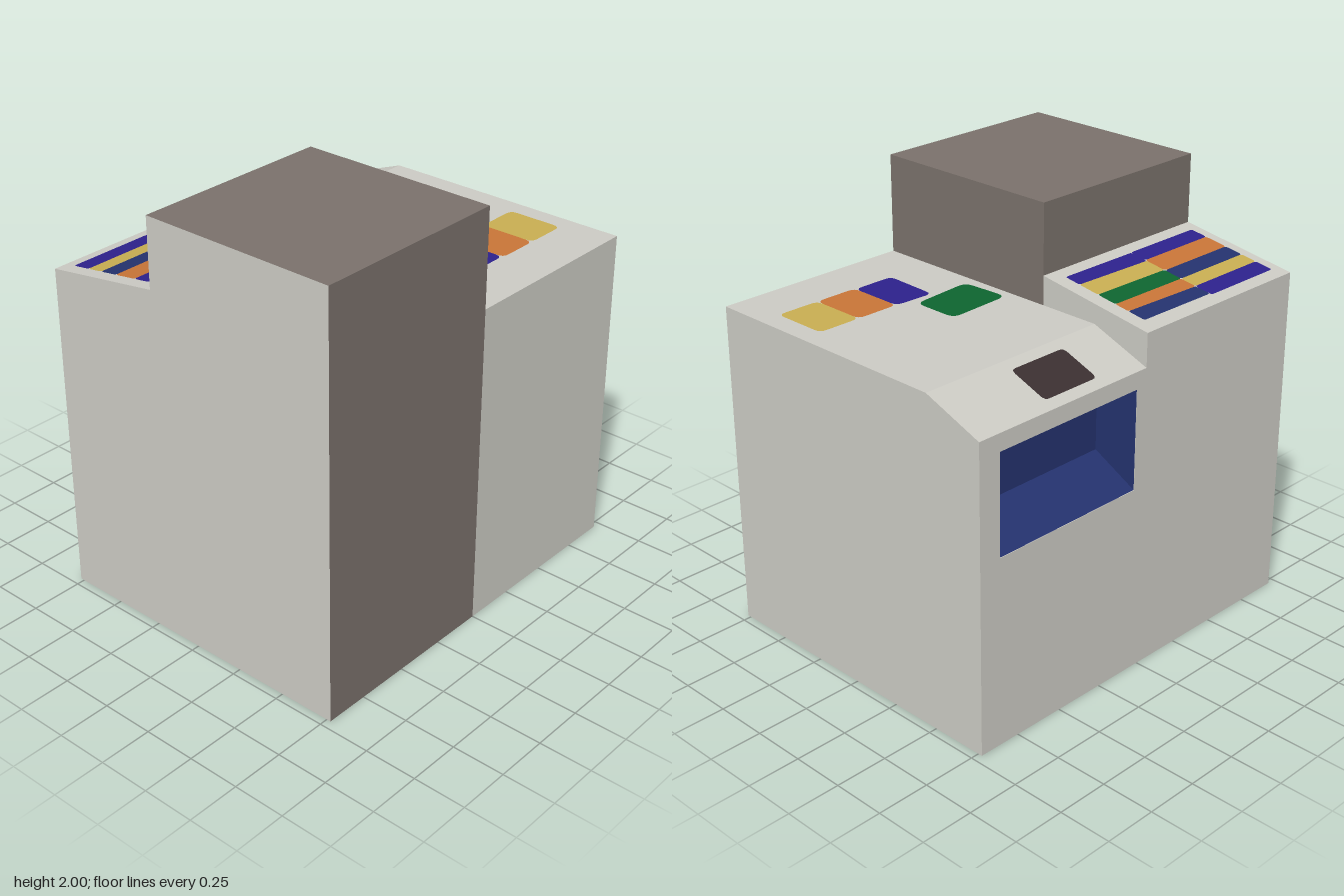
import * as THREE from 'three';

const mat = (name, color) => {
  const m = new THREE.MeshStandardMaterial({ color });
  m.name = name;
  return m;
};

export function createModel() {
  const group = new THREE.Group();
  const grey = mat('light grey', 0xcccbc4);
  const brown = mat('warm brown', 0x7a716b);
  const navy = mat('navy', 0x24326e);
  const blue = mat('violet blue', 0x2d218c);
  const orange = mat('orange', 0xc87537);
  const yellow = mat('yellow', 0xc8ae52);
  const green = mat('green', 0x0e6530);
  const dark = mat('dark screen', 0x3b3031);

  const add = (name, geometry, material) => {
    const mesh = new THREE.Mesh(geometry, material);
    mesh.name = name;
    group.add(mesh);
    return mesh;
  };

  // Solid with a side profile of [z, y] points, running from x0 to x1
  const slab = (name, profile, x0, x1) => {
    const shape = new THREE.Shape(profile.map(([z, y]) => new THREE.Vector2(-z, y)));
    const geo = new THREE.ExtrudeGeometry(shape, { depth: x1 - x0, bevelEnabled: false });
    geo.rotateY(Math.PI / 2).translate(x0, 0, 0);
    return add(name, geo, grey);
  };

  // Cabinet with a slot cut into its back
  const outline = [[0.77, 0], [0.77, 1.54], [-0.48, 1.54], [-0.77, 1.43]];
  const slot = [[-0.77, 1.35], [-0.55, 1.35], [-0.55, 1.0], [-0.77, 0.885]];
  const slotX0 = 0.055, slotX1 = 0.85;
  slab('cabinetInnerSide', [...outline, [-0.77, 0]], 0, slotX0);
  slab('cabinetMiddle', [...outline, ...slot, [-0.77, 0]], slotX0, slotX1);
  slab('cabinetOuterSide', [...outline, [-0.77, 0]], slotX1, 0.96);

  // Navy lining of the slot: ceiling, rear wall, sloped floor and two ends
  const e = 0.002;
  const lining = [[-0.77, 1.35 - e], [-0.55 - e, 1.35 - e], [-0.55 - e, 1.0 + e], [-0.77, 0.885 + e]];
  const at = (x, [z, y]) => [x, y, z];
  const a = slotX0 + e, b = slotX1 - e;
  const quads = [0, 1, 2].map(i =>
    [at(a, lining[i]), at(b, lining[i]), at(b, lining[i + 1]), at(a, lining[i + 1])]);
  for (const x of [a, b]) quads.push(lining.map(p => at(x, p)));
  const positions = quads.flatMap(([p, q, r, s]) => [p, q, r, p, r, s].flat());
  const liningGeo = new THREE.BufferGeometry();
  liningGeo.setAttribute('position', new THREE.Float32BufferAttribute(positions, 3));
  // Turn every face towards the inside of the slot
  const pos = liningGeo.attributes.position;
  const centre = new THREE.Vector3((a + b) / 2, 1.15, -0.67);
  for (let i = 0; i < pos.count; i += 3) {
    const [p, q, r] = [0, 1, 2].map(k => new THREE.Vector3().fromBufferAttribute(pos, i + k));
    const normal = q.clone().sub(p).cross(r.clone().sub(p));
    if (normal.dot(centre.clone().sub(p)) < 0) {
      pos.setXYZ(i + 1, r.x, r.y, r.z);
      pos.setXYZ(i + 2, q.x, q.y, q.z);
    }
  }
  liningGeo.computeVertexNormals();
  add('slotLining', liningGeo, navy);

  // Raised rear block with a sloping top
  slab('rearBlock', [[-0.185, 0], [-0.185, 1.675], [-0.77, 1.585], [-0.77, 0]], -0.96, 0);

  // Tall front tower, brown except for its outer side and underside
  const tower = new THREE.BoxGeometry(0.96, 2, 0.955).translate(-0.48, 1, 0.2925);
  add('tower', tower, [brown, grey, brown, grey, brown, brown]);

  // Flat coloured patch with rounded corners, laid on a surface y = height(z)
  const flat = () => 1.54;
  const rearSlope = z => 1.54 + (z + 0.48) * (0.11 / 0.29);
  const blockSlope = z => 1.675 + (z + 0.185) * (0.09 / 0.585);
  const patch = (name, material, corners, height, radius) => {
    const pts = corners.map(([x, z]) => new THREE.Vector2(x, -z));
    const shape = new THREE.Shape();
    pts.forEach((p, i) => {
      const prev = pts[(i + 3) % 4], next = pts[(i + 1) % 4];
      const from = p.clone().add(prev.clone().sub(p).setLength(radius));
      const to = p.clone().add(next.clone().sub(p).setLength(radius));
      if (i === 0) shape.moveTo(from.x, from.y);
      else shape.lineTo(from.x, from.y);
      shape.quadraticCurveTo(p.x, p.y, to.x, to.y);
    });
    shape.closePath();
    const geo = new THREE.ShapeGeometry(shape, 4).rotateX(-Math.PI / 2);
    const v = geo.attributes.position;
    for (let i = 0; i < v.count; i++) v.setY(i, height(v.getZ(i)) + 0.004);
    geo.computeVertexNormals();
    add(name, geo, material);
  };
  const rect = (x0, x1, z0, z1) => [[x0, z1], [x1, z1], [x1, z0], [x0, z0]];

  // Striped panel: two columns of five bands
  const leftEdges = [-0.71, -0.62, -0.54, -0.45, -0.337, -0.252];
  const middleEdges = [-0.7, -0.622, -0.54, -0.445, -0.345, -0.255];
  const rightEdges = [-0.695, -0.607, -0.535, -0.437, -0.332, -0.252];
  [blue, yellow, navy, orange, blue].forEach((m, i) => patch('outerStripe', m,
    rect(-0.905, -0.485, leftEdges[i], leftEdges[i + 1]), blockSlope, 0.015));
  [navy, orange, green, yellow, blue].forEach((m, i) => patch('innerStripe', m,
    [[-0.485, middleEdges[i + 1]], [-0.066, rightEdges[i + 1]],
      [-0.066, rightEdges[i]], [-0.485, middleEdges[i]]], blockSlope, 0.012));

  // Coloured pads on the cabinet top
  patch('greenPad', green, [[0.06, 0.232], [0.37, 0.208], [0.37, -0.018], [0.046, -0.003]], flat, 0.045);
  patch('bluePad', blue, [[0.24, 0.52], [0.446, 0.52], [0.446, 0.255], [0.25, 0.245]], flat, 0.035);
  patch('orangePad', orange, rect(0.446, 0.656, 0.258, 0.528), flat, 0.035);
  patch('yellowPad', yellow, rect(0.656, 0.866, 0.258, 0.528), flat, 0.035);

  // Dark screen on the rear slope
  patch('screen', dark, rect(0.25, 0.552, -0.722, -0.535), rearSlope, 0.025);

  return group;
}
